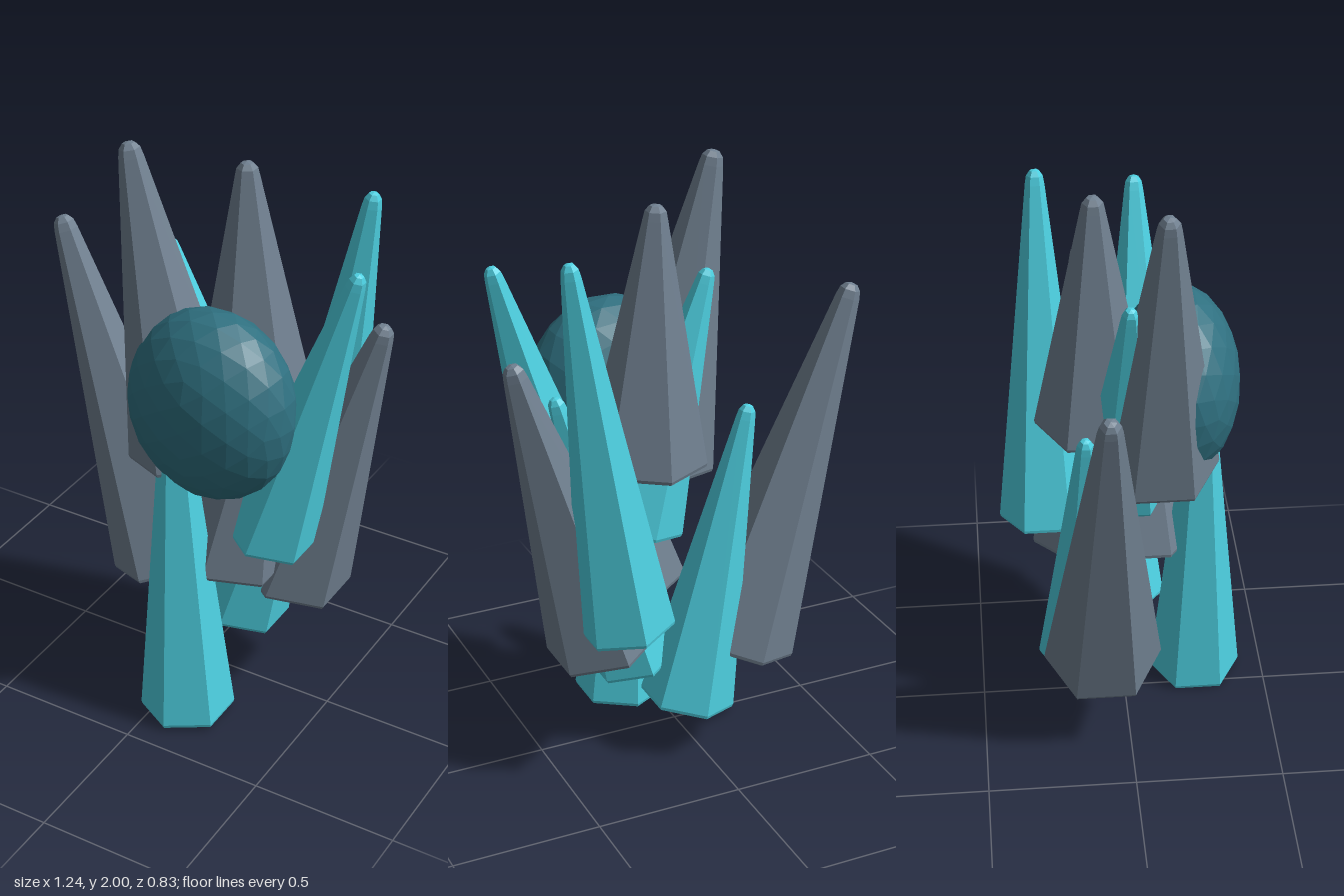
import * as THREE from 'three';

const slate = new THREE.MeshStandardMaterial({ color: 0x708090, flatShading: true });
const cyan = new THREE.MeshStandardMaterial({ color: 0x4dd0e1, flatShading: true });
const teal = new THREE.MeshStandardMaterial({ color: 0x2f7080, flatShading: true });

// Six-sided tapering crystal with a bevelled base and a rounded tip,
// standing on its base centre and leaning sideways towards its tip.
function crystal(name, material, radius, [bx, by], [tx, ty], z) {
  const length = Math.hypot(tx - bx, ty - by);
  const tip = radius * 0.2;
  const profile = [
    [0, 0],
    [radius - 0.012, 0],
    [radius - 0.003, 0.004],
    [radius, 0.015],
    [tip, length - 0.05],
    [tip * 0.85, length - 0.022],
    [tip * 0.5, length - 0.005],
    [0, length],
  ].map(([r, y]) => new THREE.Vector2(r, y));
  const mesh = new THREE.Mesh(new THREE.LatheGeometry(profile, 6), material);
  mesh.name = name;
  mesh.position.set(bx, by, z);
  mesh.rotation.z = -Math.atan2(tx - bx, ty - by);
  return mesh;
}

export function createModel() {
  const group = new THREE.Group();
  group.name = 'crystalCluster';

  // Wide slate crystals: base [x, y], tip [x, y], z
  const slateCrystals = [
    [[-0.19, 0.31], [-0.6, 1.555], -0.09],
    [[0.02, 0.945], [-0.195, 2.0], 0.12],
    [[0.145, 1.05], [0.105, 1.92], -0.09],
    [[0.3, 0.43], [0.6, 1.475], -0.1],
    [[0.15, 0.55], [0.29, 1.37], 0.06],
  ];
  slateCrystals.forEach(([base, tip, z], i) =>
    group.add(crystal(`slateCrystal${i + 1}`, slate, 0.2, base, tip, z)));

  // Slimmer cyan crystals
  const cyanCrystals = [
    [[0.095, 0.007], [0.04, 1.35], 0.26],
    [[0.02, 0.16], [-0.2, 1.215], -0.14],
    [[0.29, 0.56], [0.465, 1.835], -0.255],
    [[0.3, 0.69], [0.59, 1.735], 0.08],
    [[0.155, 0.29], [0.425, 1.3], -0.01],
    [[0.14, 0.78], [-0.125, 1.645], 0.01],
  ];
  cyanCrystals.forEach(([base, tip, z], i) =>
    group.add(crystal(`cyanCrystal${i + 1}`, cyan, 0.16, base, tip, z)));

  // Faceted egg-shaped core
  const core = new THREE.Mesh(new THREE.IcosahedronGeometry(1, 3), teal);
  core.name = 'core';
  core.scale.set(0.292, 0.332, 0.207);
  core.position.set(0.148, 1.2, 0.19);
  group.add(core);

  return group;
}
